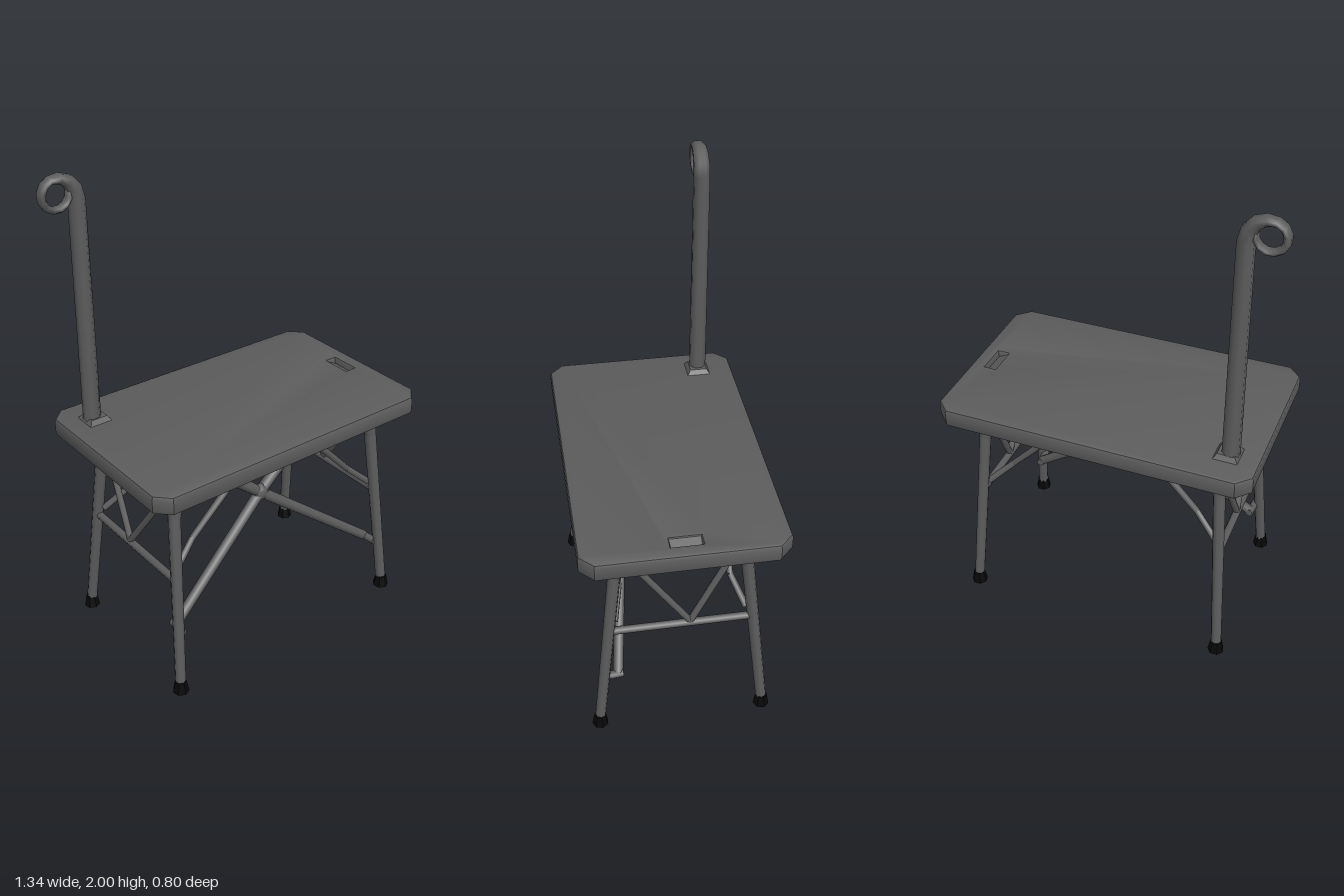
import * as THREE from 'three';
import { toCreasedNormals } from 'three/addons/utils/BufferGeometryUtils.js';

const frameGrey = new THREE.MeshStandardMaterial({ color: 0x5c5c5c });
frameGrey.name = 'frameGrey';
const rubberBlack = new THREE.MeshStandardMaterial({ color: 0x080808 });
rubberBlack.name = 'rubberBlack';

const V = (x, y, z) => new THREE.Vector3(x, y, z);

function add(parent, name, geometry, material = frameGrey) {
  const mesh = new THREE.Mesh(geometry, material);
  mesh.name = name;
  parent.add(mesh);
  return mesh;
}

// Straight rod from a to b, with its own radius at each end
function rod(parent, name, a, b, ra, rb = ra, material = frameGrey, sides = 8) {
  const dir = b.clone().sub(a);
  const mesh = add(parent, name, new THREE.CylinderGeometry(rb, ra, dir.length(), sides), material);
  mesh.position.copy(a).add(b).multiplyScalar(0.5);
  mesh.quaternion.setFromUnitVectors(V(0, 1, 0), dir.normalize());
  return mesh;
}

// Tapered tube along a path in the xy plane; each point is [x, y, in-plane radius, z radius]
function planarTube(points, z, sides) {
  const pos = [], index = [];
  points.forEach(([x, y, a, b], i) => {
    const p = points[Math.max(i - 1, 0)], n = points[Math.min(i + 1, points.length - 1)];
    const len = Math.hypot(n[0] - p[0], n[1] - p[1]);
    const nx = (n[1] - p[1]) / len, ny = -(n[0] - p[0]) / len;
    for (let j = 0; j < sides; j++) {
      const t = ((j + 0.5) / sides) * Math.PI * 2;
      pos.push(x + nx * a * Math.cos(t), y + ny * a * Math.cos(t), z + b * Math.sin(t));
      if (i) {
        const k = (j + 1) % sides, s = (i - 1) * sides, e = i * sides;
        index.push(s + j, e + j, s + k, s + k, e + j, e + k);
      }
    }
  });
  const g = new THREE.BufferGeometry();
  g.setAttribute('position', new THREE.Float32BufferAttribute(pos, 3));
  g.setIndex(index);
  g.computeVertexNormals();
  return g;
}

function buildTop(group) {
  // Slab with clipped corners and a slot near the left edge
  const x0 = -0.635, x1 = 0.667, y0 = -0.397, y1 = 0.4, c = 0.055, bevel = 0.015;
  const outline = [[x0 + c, y0], [x1 - c, y0], [x1, y0 + c], [x1, y1 - c],
    [x1 - c, y1], [x0 + c, y1], [x0, y1 - c], [x0, y0 + c]];
  const shape = new THREE.Shape(outline.map(([x, y]) => new THREE.Vector2(x, y)));
  const slot = [[0.56, -0.055], [0.56, 0.065], [0.605, 0.065], [0.605, -0.055]];
  shape.holes.push(new THREE.Path(slot.map(([x, y]) => new THREE.Vector2(x, y))));
  const slab = new THREE.ExtrudeGeometry(shape, {
    depth: 0.08 - 2 * bevel, bevelEnabled: true, bevelThickness: bevel,
    bevelSize: bevel, bevelOffset: -bevel, bevelSegments: 2,
  });
  slab.rotateX(-Math.PI / 2).translate(0, 0.9 + bevel, 0);
  add(group, 'tableTop', toCreasedNormals(slab, 0.7));

  // Closed underside and sloping floor of the slot
  add(group, 'slotUnderside', new THREE.BoxGeometry(0.11, 0.036, 0.19))
    .position.set(0.583, 0.917, -0.005);
  const wedge = new THREE.Shape([[0.545, 0.93], [0.62, 0.93], [0.62, 0.942], [0.545, 0.976]]
    .map(([x, y]) => new THREE.Vector2(x, y)));
  add(group, 'slotRamp', new THREE.ExtrudeGeometry(wedge, { depth: 0.15, bevelEnabled: false }))
    .position.z = -0.08;
}

function buildPole(group) {
  // Upright that thins out into a curled eye
  const path = [[-0.519, 0.97, 0.036, 0.036], [-0.519, 1.2, 0.035, 0.036], [-0.519, 1.89, 0.033, 0.034],
    [-0.528, 1.932, 0.031, 0.034], [-0.55, 1.962, 0.026, 0.032], [-0.585, 1.978, 0.02, 0.03]];
  const turns = 10;
  for (let i = 1; i <= turns; i++) {
    const t = THREE.MathUtils.degToRad(80 + i * 29);
    path.push([-0.603 + 0.056 * Math.cos(t), 1.922 + 0.057 * Math.sin(t),
      0.0165 - i * 0.0004, 0.028 - i * 0.0008]);
  }
  const end = path[path.length - 1];
  path.push([end[0] + 0.002, end[1] + 0.012, 0.001, 0.001]);
  add(group, 'pole', planarTube(path, -0.25, 8));

  // Square collar where the pole meets the top
  const collar = add(group, 'poleCollar', toCreasedNormals(
    new THREE.CylinderGeometry(0.05, 0.074, 0.025, 4).rotateY(Math.PI / 4), 0.4));
  collar.position.set(-0.508, 0.987, -0.247);
}

function buildLeg(group, s, f) {
  // s = side (+1 left), f = front (+1) or back (-1)
  const shift = 0.018;
  const at = (y) => V(shift + s * (0.555 - 0.065 * y),
    y, f * (0.342 - 0.108 * y));
  const leg = new THREE.Group();
  leg.name = (f > 0 ? 'front' : 'back') + (s > 0 ? 'Left' : 'Right') + 'Leg';
  group.add(leg);
  rod(leg, 'legTube', at(0.03), at(0.91), 0.022, 0.026);
  // Flared socket under the top
  rod(leg, 'legSocket', at(0.77), V(shift + s * 0.488, 0.905, f * 0.236), 0.025, 0.046);
  // Rubber foot, flat on the ground
  const foot = add(leg, 'foot', toCreasedNormals(new THREE.CylinderGeometry(0.024, 0.034, 0.052, 7), 0.5), rubberBlack);
  foot.position.copy(at(0.026));
}

function buildSideFrame(group, s) {
  const shift = 0.018;
  const frame = new THREE.Group();
  frame.name = (s > 0 ? 'left' : 'right') + 'SideFrame';
  group.add(frame);
  const xBar = shift + s * 0.522, xTop = shift + s * 0.495;
  rod(frame, 'sideBar', V(xBar, 0.502, 0.285), V(xBar, 0.502, -0.285), 0.016);
  // V brace and angled struts to the underside
  for (const f of [1, -1]) {
    rod(frame, 'sideBrace', V(xBar, 0.51, -0.035), V(xTop, 0.89, f * 0.235), 0.014);
    const z = f > 0 ? 0.232 : -0.215;
    const low = V(shift + s * 0.505, 0.535, f * 0.262);
    const mid = V(shift + s * 0.405, 0.625, z);
    const high = V(s > 0 ? 0.15 : f > 0 ? -0.08 : -0.13, 0.91, z);
    rod(frame, 'strut', low, mid, 0.014, 0.013);
    rod(frame, 'strut', mid, high, 0.013, 0.016);
  }
}

function buildCrossBrace(group) {
  const hub = V(0, 0.645, 0.168);
  const brace = new THREE.Group();
  brace.name = 'crossBrace';
  group.add(brace);
  for (const s of [1, -1]) {
    const low = V(s > 0 ? 0.53 : -0.493, s > 0 ? 0.24 : 0.262, 0.255);
    rod(brace, 'lowerBrace', low, hub, 0.021, 0.023);
    rod(brace, 'upperBrace', hub, V(s * 0.33, 0.91, 0.14), 0.023, 0.027);
    // Pin joining the brace to the front leg
    rod(brace, 'bracePin', V(low.x, low.y, 0.235), V(low.x + s * 0.008, low.y, 0.315), 0.017);
  }
  const joint = add(brace, 'braceHub', new THREE.SphereGeometry(0.038, 10, 8));
  joint.position.copy(hub);
  joint.scale.z = 0.75;
}

export function createModel() {
  const group = new THREE.Group();
  group.name = 'foldingTable';
  buildTop(group);
  buildPole(group);
  for (const s of [1, -1]) {
    for (const f of [1, -1]) buildLeg(group, s, f);
    buildSideFrame(group, s);
  }
  buildCrossBrace(group);
  return group;
}
